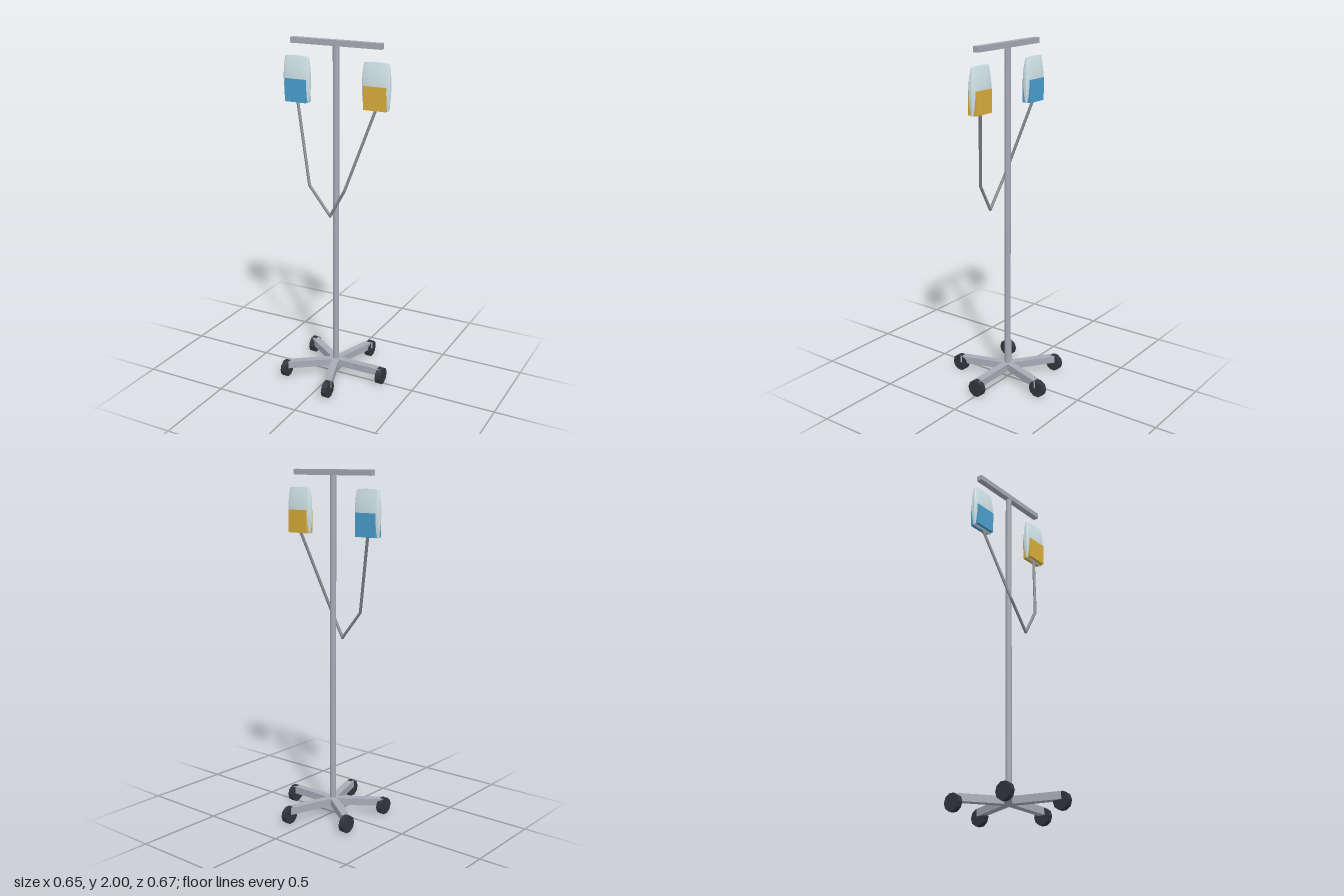
import * as THREE from 'three';

const mat = (color, flatShading = false) => new THREE.MeshStandardMaterial({ color, flatShading });

function part(parent, name, geometry, material, x = 0, y = 0, z = 0) {
  const mesh = new THREE.Mesh(geometry, material);
  mesh.name = name;
  mesh.position.set(x, y, z);
  parent.add(mesh);
  return mesh;
}

// Pillow-shaped bag: a box thinned towards its ends and chamfered at its sides
function bagGeometry() {
  const g = new THREE.BoxGeometry(2, 2, 2, 6, 8, 2);
  const p = g.attributes.position;
  for (let i = 0; i < p.count; i++) {
    const u = p.getX(i), v = p.getY(i), w = p.getZ(i);
    const bulge = 1 - v * v;
    const halfWidth = 0.073 + 0.009 * bulge;
    const halfDepth = 0.009 + 0.015 * bulge;
    const side = Math.abs(u) > 0.99 ? 0.4 : 1 - 0.2 * u * u;
    const across = Math.abs(u) > 0.6 && Math.abs(u) < 0.99 ? Math.sign(u) * 0.86 : u;
    p.setXYZ(i, across * halfWidth, v * 0.13 - 0.006 * u * u * Math.max(0, v) ** 4, w * halfDepth * side);
  }
  g.computeVertexNormals();
  return g;
}

export function createModel() {
  const stand = new THREE.Group();
  stand.name = 'dripStand';
  const metal = mat(0xa6abb6);
  const rubber = mat(0x33353b, true);
  const tubing = mat(0x85888f);
  const plastic = mat(0xd2e5ea);

  // Pole and top bar
  part(stand, 'pole', new THREE.CylinderGeometry(0.018, 0.018, 1.915, 12), metal, 0, 1.0125, 0);
  part(stand, 'topBar', new THREE.BoxGeometry(0.55, 0.032, 0.035), metal, 0, 1.984, 0);

  // Five-legged base with a wheel at each end
  const reach = 0.298;
  const legGeo = new THREE.BoxGeometry(reach, 0.042, 0.042).translate(reach / 2, 0, 0);
  const wheelGeo = new THREE.CylinderGeometry(0.05, 0.05, 0.033, 10).rotateZ(Math.PI / 2);
  for (let i = 0; i < 5; i++) {
    const a = (i * Math.PI * 2) / 5;
    part(stand, 'leg', legGeo, metal, 0, 0.0738, 0).rotation.y = -a;
    part(stand, 'wheel', wheelGeo, rubber, reach * Math.cos(a), 0.0476, reach * Math.sin(a));
  }

  // Fluid bags with coloured labels wrapped around the lower half
  const bagGeo = bagGeometry();
  const labelGeo = new THREE.BoxGeometry(0.133, 0.13, 0.056);
  for (const [name, x, color] of [['right', -0.243, 0x4a9fd0], ['left', 0.243, 0xd9ae3a]]) {
    part(stand, name + 'Bag', bagGeo, plastic, x, 1.77, 0);
    part(stand, name + 'Label', labelGeo, mat(color), x, 1.707, 0);
  }

  // Bent tube joining the two bags in front of the pole
  const path = [
    [-0.243, 1.65, 0], [-0.11, 1.2, 0.11], [0.02, 1.038, 0.11], [0.11, 1.2, 0.11], [0.243, 1.65, 0],
  ].map((c) => new THREE.Vector3(...c));
  const r = 0.0085;
  for (let i = 0; i < path.length - 1; i++) {
    const line = new THREE.LineCurve3(path[i], path[i + 1]);
    part(stand, 'tube', new THREE.TubeGeometry(line, 1, r, 8), tubing);
    if (i > 0) part(stand, 'tubeBend', new THREE.SphereGeometry(r, 8, 6), tubing, ...path[i].toArray());
  }
  return stand;
}
